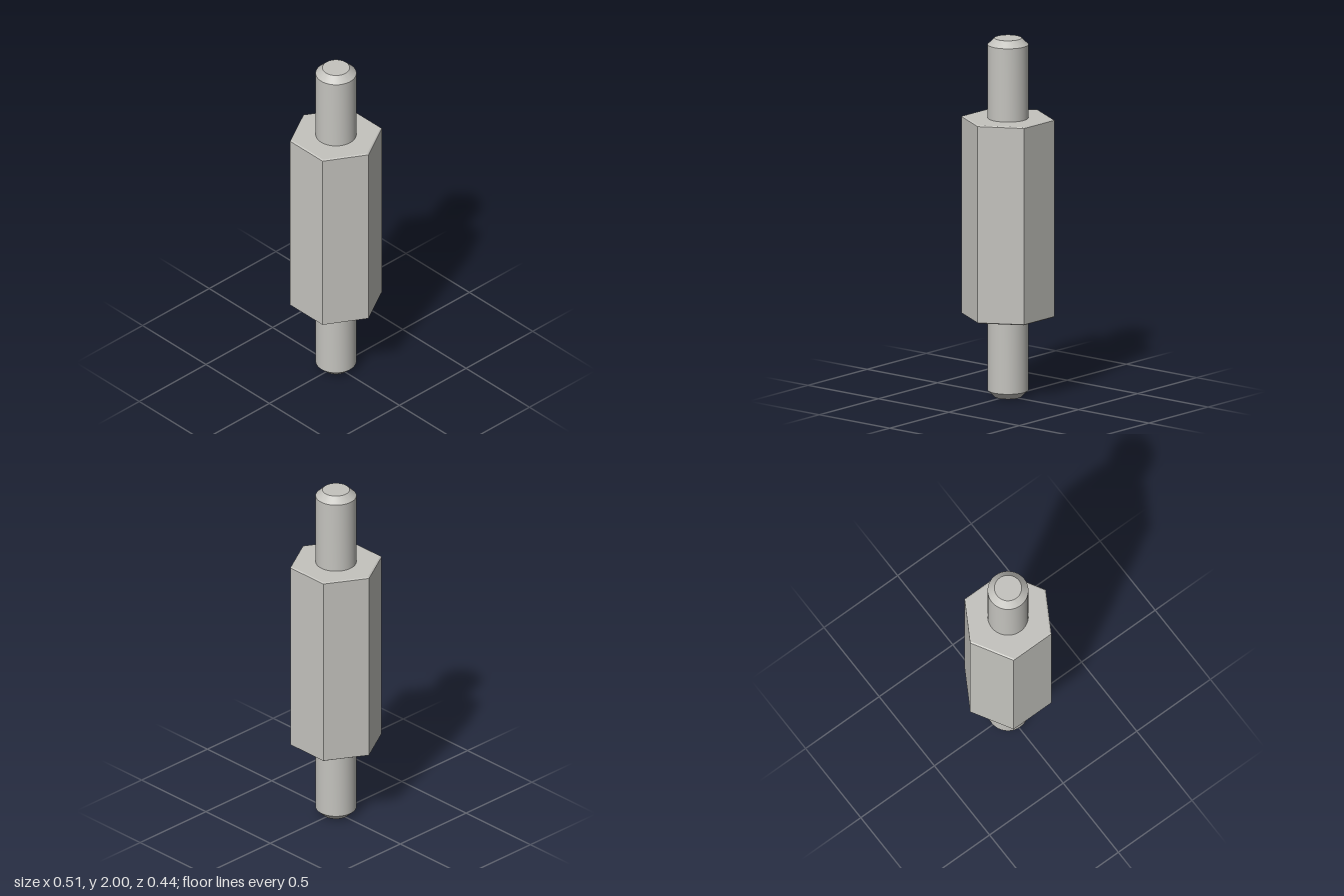
import * as THREE from 'three';
import { toCreasedNormals } from 'three/addons/utils/BufferGeometryUtils.js';

const metal = new THREE.MeshStandardMaterial({ color: 0xc4c3be });
metal.name = 'plainMetal';

// Revolve a [radius, height] profile, keeping its corners sharp
function revolve(name, profile, sides, start = 0) {
  const points = profile.map(([r, y]) => new THREE.Vector2(r, y));
  const geometry = toCreasedNormals(new THREE.LatheGeometry(points, sides, start), 0.5);
  const mesh = new THREE.Mesh(geometry, metal);
  mesh.name = name;
  return mesh;
}

export function createModel() {
  const group = new THREE.Group();
  group.name = 'hexStandoff';

  // Hexagonal body with slightly chamfered ends, corners on the x axis
  const R = 0.2566, r = 0.2475, bottom = 0.45, top = 1.555, c = 0.005;
  group.add(revolve('hexBody', [
    [0, bottom], [r, bottom], [R, bottom + c],
    [R, top - c], [r, top], [0, top],
  ], 6, Math.PI / 6));

  // Round studs with chamfered tips
  const stud = 0.111, tip = 0.074, chamfer = 0.036;
  group.add(revolve('lowerStud', [
    [0, 0], [tip, 0], [stud, chamfer], [stud, bottom],
  ], 64));
  group.add(revolve('upperStud', [
    [stud, top], [stud, 2 - chamfer], [tip, 2], [0, 2],
  ], 64));

  return group;
}
